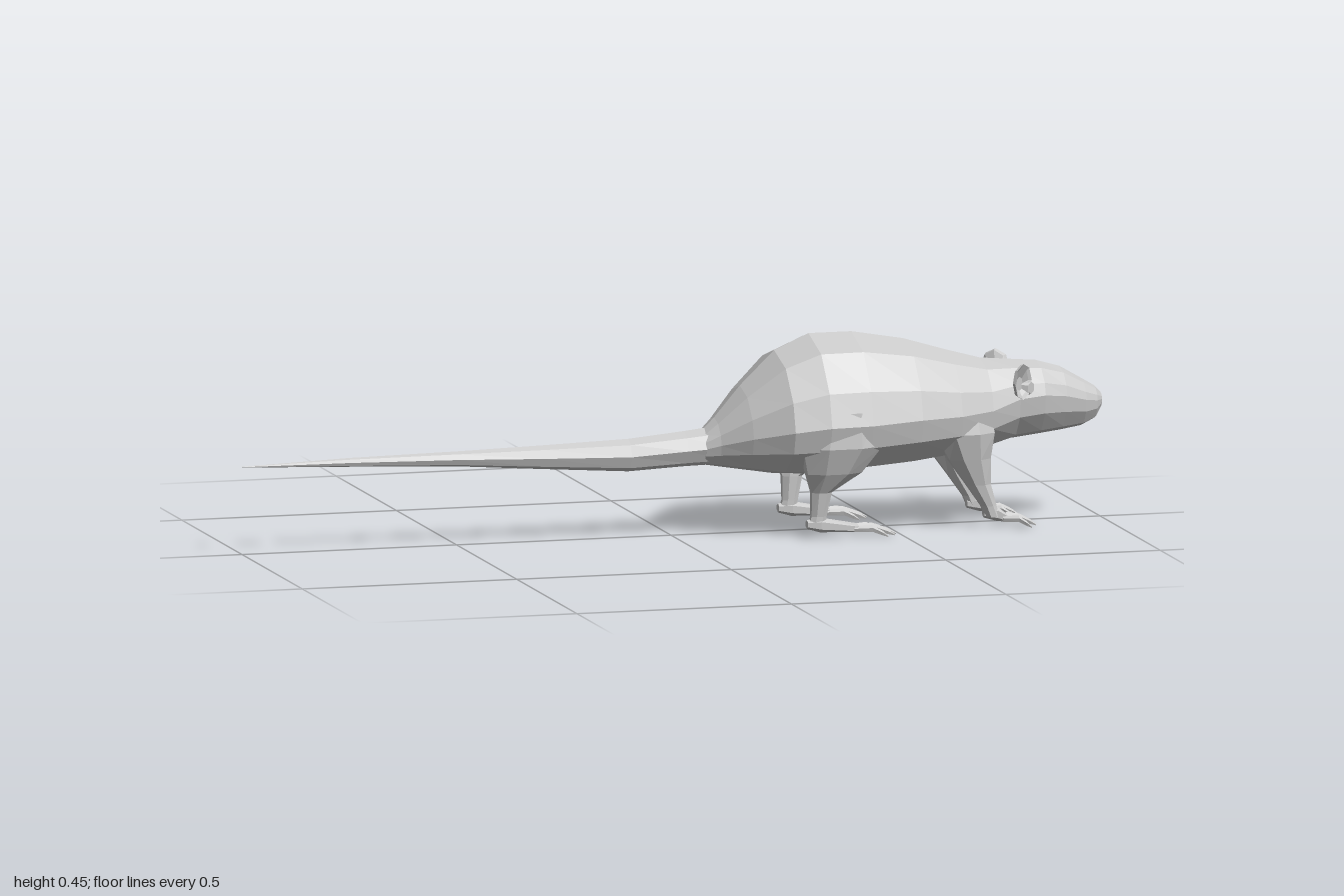
import * as THREE from 'three';

const material = new THREE.MeshStandardMaterial({ color: 0xcccccc, flatShading: true });

// Skin a list of point rings and close both ends with fans
function loft(name, rings) {
  const n = rings[0].length, pos = [], index = [];
  const centre = r => [0, 1, 2].map(k => r.reduce((s, p) => s + p[k], 0) / n);
  rings.forEach(r => r.forEach(p => pos.push(...p)));
  const first = rings.length * n, last = first + 1, end = (rings.length - 1) * n;
  pos.push(...centre(rings[0]), ...centre(rings[rings.length - 1]));
  for (let j = 0; j < n; j++) {
    const k = (j + 1) % n;
    for (let i = 0; i < rings.length - 1; i++) {
      const a = i * n, b = a + n;
      index.push(a + j, a + k, b + k, a + j, b + k, b + j);
    }
    index.push(first, k, j, last, end + j, end + k);
  }
  const geo = new THREE.BufferGeometry();
  geo.setAttribute('position', new THREE.Float32BufferAttribute(pos, 3));
  geo.setIndex(index);
  const flat = geo.toNonIndexed();
  flat.computeVertexNormals();
  const mesh = new THREE.Mesh(flat, material);
  mesh.name = name;
  return mesh;
}

// Ring facing +x, for sections along the body, feet and toes
const ringX = (x, y, z, h, w, n) => Array.from({ length: n }, (_, i) => {
  const a = i / n * Math.PI * 2;
  return [x, y + h * Math.cos(a), z + w * Math.sin(a)];
});

// Ring facing +y, for sections up a leg
const ringY = (x, y, z, rx, rz, n) => Array.from({ length: n }, (_, i) => {
  const a = (i + 0.5) / n * Math.PI * 2;
  return [x + rx * Math.sin(a), y, z + rz * Math.cos(a)];
});

// Half outline of the trunk: [width factor, height factor], from back to belly
const outline = [[0, 1], [0.54, 0.83], [0.89, 0.4], [1, 0], [0.92, -0.42], [0.55, -0.85], [0, -1]];
function trunkRing([x, top, mid, bottom, w]) {
  const half = outline.map(([u, v]) => [x, mid + v * (v > 0 ? top - mid : mid - bottom), u * w]);
  return [...half, ...half.slice(1, -1).reverse().map(([a, b, c]) => [a, b, -c])];
}

// Sections: x, top, widest height, bottom, half width
const trunk = [
  [0.07, 0.235, 0.20, 0.16, 0.045], [0.10, 0.265, 0.21, 0.155, 0.065],
  [0.16, 0.335, 0.23, 0.145, 0.12], [0.24, 0.412, 0.25, 0.132, 0.182],
  [0.32, 0.447, 0.26, 0.128, 0.2], [0.42, 0.447, 0.26, 0.135, 0.19],
  [0.54, 0.426, 0.265, 0.143, 0.172], [0.64, 0.396, 0.265, 0.155, 0.146],
  [0.72, 0.374, 0.27, 0.168, 0.117]
];
const head = [
  [0.72, 0.374, 0.27, 0.168, 0.117], [0.79, 0.368, 0.29, 0.188, 0.092],
  [0.85, 0.363, 0.295, 0.195, 0.085], [0.905, 0.347, 0.288, 0.202, 0.067],
  [0.955, 0.318, 0.275, 0.21, 0.05], [0.985, 0.3, 0.27, 0.225, 0.034],
  [1, 0.285, 0.27, 0.25, 0.017]
];

// Foot with fanned toes; ends at x1, toes reach x2
function foot(name, x0, x1, x2, z, s, toes, spread) {
  const g = new THREE.Group();
  g.name = name;
  g.add(loft('sole', [
    ringX(x0, 0.032, z * s, 0.01, 0.012, 6),
    ringX(x0 + 0.03, 0.03, z * s, 0.017, 0.019, 6),
    ringX(x1, 0.02, z * s, 0.01, 0.025, 6)
  ]));
  for (let i = 0; i < toes; i++) {
    const t = i / (toes - 1) * 2 - 1;
    const zAt = f => (z + t * f) * s;
    const reach = (x2 - x1) * (1 - 0.3 * t * t);
    g.add(loft('toe', [
      ringX(x1 - 0.012, 0.019, zAt(0.017), 0.007, 0.007, 5),
      ringX(x1 + reach * 0.45, 0.02, zAt(0.017 + (spread - 0.017) * 0.5), 0.008, 0.007, 5),
      ringX(x1 + reach * 0.8, 0.01, zAt(spread * 0.9), 0.006, 0.006, 5),
      ringX(x1 + reach, 0.003, zAt(spread), 0.002, 0.002, 5)
    ]));
  }
  return g;
}

// Leg sections: x, y, z, half length, half width
const hindLeg = [
  [0.305, 0.024, 0.12, 0.022, 0.014], [0.31, 0.05, 0.12, 0.019, 0.015],
  [0.315, 0.105, 0.123, 0.025, 0.022], [0.34, 0.15, 0.136, 0.068, 0.036],
  [0.355, 0.21, 0.145, 0.1, 0.05], [0.36, 0.29, 0.145, 0.08, 0.045]
];
const foreLeg = [
  [0.728, 0.024, 0.075, 0.018, 0.017], [0.718, 0.05, 0.076, 0.019, 0.018],
  [0.693, 0.1, 0.079, 0.03, 0.024], [0.67, 0.16, 0.084, 0.052, 0.036],
  [0.655, 0.22, 0.092, 0.075, 0.044], [0.655, 0.28, 0.088, 0.06, 0.035]
];

// Cupped ear: back of the shell, rim, then the hollow
function ear(s) {
  const g = new THREE.Group();
  g.name = s > 0 ? 'rightEar' : 'leftEar';
  g.add(loft('earShell', [
    ringX(-0.014, -0.008, -0.008 * s, 0.02, 0.018, 8),
    ringX(-0.002, 0, 0, 0.038, 0.034, 8),
    ringX(0.006, 0, 0, 0.041, 0.037, 8),
    ringX(0.002, 0, 0, 0.033, 0.029, 8),
    ringX(-0.008, -0.006, -0.006 * s, 0.016, 0.014, 8)
  ]));
  g.add(loft('earRoot', [
    ringX(-0.012, -0.018, -0.03 * s, 0.018, 0.02, 6),
    ringX(0.006, -0.018, -0.034 * s, 0.014, 0.016, 6)
  ]));
  g.position.set(0.785, 0.333, 0.111 * s);
  g.rotation.y = -0.8 * s;
  return g;
}

export function createModel() {
  const model = new THREE.Group();
  model.name = 'rodent';
  model.add(loft('body', trunk.map(trunkRing)), loft('head', head.map(trunkRing)));

  // Tail: x, height, half height, half width
  const tail = [
    [-1, 0.2, 0.001, 0.001], [-0.75, 0.2, 0.01, 0.01], [-0.5, 0.197, 0.017, 0.018],
    [-0.3, 0.192, 0.027, 0.026], [-0.1, 0.188, 0.037, 0.034], [0.03, 0.197, 0.04, 0.043],
    [0.12, 0.203, 0.044, 0.05]
  ];
  model.add(loft('tail', tail.map(([x, y, h, w]) => ringX(x, y, 0, h, w, 8))));

  for (const s of [1, -1]) {
    const side = s > 0 ? 'right' : 'left';
    const leg = list => list.map(([x, y, z, rx, rz]) => ringY(x, y, z * s, rx, rz, 8));
    model.add(
      loft(side + 'HindLeg', leg(hindLeg)),
      loft(side + 'ForeLeg', leg(foreLeg)),
      foot(side + 'HindFoot', 0.283, 0.4, 0.49, 0.12, s, 5, 0.033),
      foot(side + 'ForeFoot', 0.708, 0.76, 0.828, 0.072, s, 4, 0.046),
      ear(s)
    );
  }
  return model;
}
